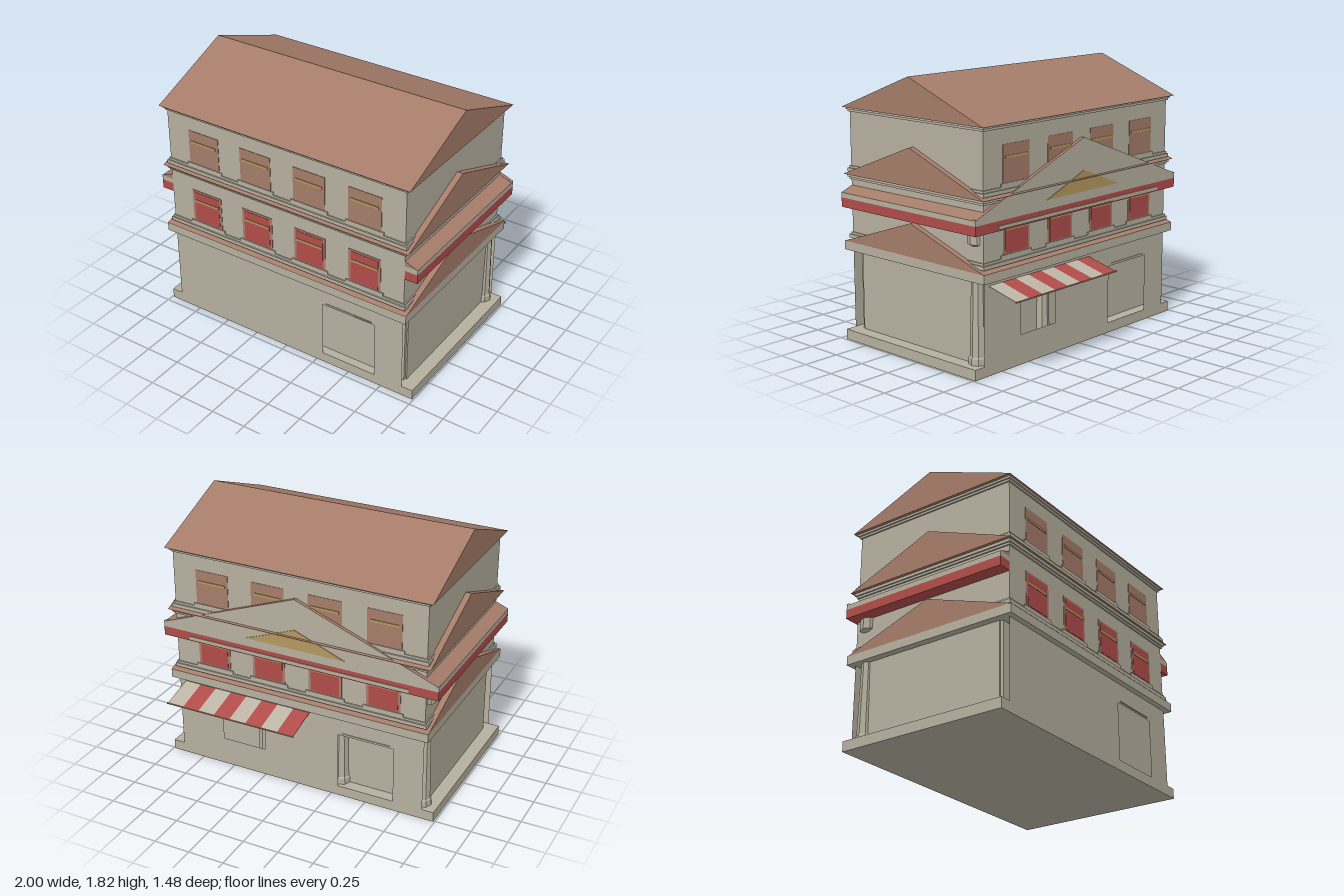
import * as THREE from 'three';

export function createModel() {
  const model = new THREE.Group();
  model.name = 'shopHouse';
  const mat = (name, color, side = THREE.FrontSide) => {
    const m = new THREE.MeshStandardMaterial({ color, side });
    m.name = name;
    return m;
  };
  const plaster = mat('plaster', 0xb5af9e, THREE.DoubleSide);
  const tile = mat('roofTile', 0xa57c69);
  const red = mat('redPaint', 0xb04c49, THREE.DoubleSide);
  const tan = mat('tanTrim', 0xb3975f);
  const cloth = mat('paleCloth', 0xbdb4a5, THREE.DoubleSide);

  const add = (name, geo, material, parent = model) => {
    const mesh = new THREE.Mesh(geo, material);
    mesh.name = name;
    parent.add(mesh);
    return mesh;
  };
  // Box given by its limits on each axis
  const box = (name, [x0, x1], [y0, y1], [z0, z1], material, parent) => {
    const g = new THREE.BoxGeometry(x1 - x0, y1 - y0, z1 - z0);
    g.translate((x0 + x1) / 2, (y0 + y1) / 2, (z0 + z1) / 2);
    return add(name, g, material, parent);
  };
  const polygon = (pts) => new THREE.Shape(pts.map(([x, y]) => new THREE.Vector2(x, y)));
  // Section drawn in (z, y), swept along x from x0 to x1
  const sweepX = (name, pts, x0, x1, material) => {
    const g = new THREE.ExtrudeGeometry(polygon(pts.map(([z, y]) => [-z, y])), { depth: x1 - x0, bevelEnabled: false });
    g.rotateY(Math.PI / 2).translate(x0, 0, 0);
    return add(name, g, material);
  };

  const FRONT = 0.70, BACK = -0.51, MID = 0.095, W = 0.91;

  // Plinth, recessed ground-floor core
  box('plinth', [-0.99, 0.99], [0, 0.07], [BACK, FRONT], plaster);
  box('groundCore', [-0.9, 0.9], [0.07, 0.61], [-0.43, 0.62], plaster);
  box('groundFrontInnerWall', [-0.89, 0.89], [0.07, 0.61], [0.62, 0.64], plaster);

  // Thin outer ground-floor walls with openings
  const rect = (x0, x1, y0, y1) => polygon([[x0, y0], [x1, y0], [x1, y1], [x0, y1]]);
  const screen = (name, z, holes) => {
    const s = rect(-W, W, 0.07, 0.61);
    holes.forEach((h) => s.holes.push(rect(...h)));
    const g = new THREE.ShapeGeometry(s);
    if (z < 0) g.rotateY(Math.PI);
    add(name, g.translate(0, 0, z), plaster);
  };
  const door = [0.3, 0.7, 0.0701, 0.47];
  screen('frontWall', FRONT, [door]);
  screen('backWall', BACK, [door, [-0.575, -0.25, 0.2, 0.42]]);
  box('frontDoorLintel', [0.33, 0.675], [0.482, 0.488], [FRONT, FRONT + 0.006], plaster);
  box('backDoorLintel', [-0.675, -0.33], [0.482, 0.488], [BACK - 0.006, BACK], plaster);

  // Arcade columns behind the back wall
  for (const x of [-0.88, -0.29, 0.29, 0.88]) {
    const column = new THREE.Group();
    column.name = 'column';
    column.position.set(x, 0, -0.43);
    model.add(column);
    const drum = (name, rTop, rBottom, y0, y1) => {
      const g = new THREE.CylinderGeometry(rTop, rBottom, y1 - y0, 8).toNonIndexed();
      g.computeVertexNormals();
      add(name, g.translate(0, (y0 + y1) / 2, 0), plaster, column);
    };
    drum('columnShaft', 0.042, 0.052, 0.12, 0.61);
    drum('columnBase', 0.06, 0.062, 0.07, 0.11);
    drum('columnBaseTop', 0.045, 0.06, 0.11, 0.13);
  }

  // Brackets under the side canopies
  for (const s of [-1, 1]) {
    const g = new THREE.CylinderGeometry(0.06, 0.06, 0.075, 8).toNonIndexed();
    g.computeVertexNormals();
    add('canopyBracket', g.translate(s * 0.885, 0.877, -0.43), plaster);
    const t = new THREE.CylinderGeometry(0.06, 0.03, 0.015, 8).toNonIndexed();
    t.computeVertexNormals();
    add('canopyBracketTip', t.translate(s * 0.885, 0.832, -0.43), plaster);
  }

  // Slab over the ground floor and upper storeys
  box('slab', [-0.95, 0.95], [0.61, 0.67], [-0.55, 0.74], plaster);
  box('secondStorey', [-W, W], [0.67, 1.12], [BACK, FRONT], plaster);
  box('thirdStorey', [-W, W], [1.12, 1.57], [BACK, FRONT], plaster);

  // Ledges in two steps around the storeys
  const ledge = (y0, y1, out) =>
    box('ledge', [-W - out, W + out], [y0, y1], [BACK - out, FRONT + out], plaster);
  for (const y of [0.69, 1.14]) {
    ledge(y, y + 0.025, 0.018);
    ledge(y + 0.025, y + 0.04, 0.008);
  }
  for (const y of [1.09, 1.54]) {
    ledge(y, y + 0.015, 0.01);
    ledge(y + 0.015, y + 0.035, 0.02);
  }

  // Gable roofs, one per storey
  for (const [eave, ridge] of [[0.67, 0.89], [1.125, 1.375], [1.57, 1.82]])
    sweepX('gableRoof', [[0.735, eave], [MID, ridge], [-0.55, eave]], -0.95, 0.95, tile);

  // Windows on front and back
  for (const side of [1, -1]) {
    const face = new THREE.Group();
    face.name = side > 0 ? 'frontWindows' : 'backWindows';
    face.position.z = side > 0 ? FRONT : BACK;
    if (side < 0) face.rotation.y = Math.PI;
    model.add(face);
    for (const x of [-0.62, -0.207, 0.207, 0.62]) {
      for (const y of [0.75, 1.2]) {
        box('windowFrame', [x - 0.12, x + 0.12], [y, y + 0.24], [0, 0.003], tile, face);
        box('windowSill', [x - 0.14, x + 0.14], [y - 0.02, y], [0, 0.008], plaster, face);
        if (y < 1)
          box('windowShutter', [x - 0.102, x + 0.102], [y + 0.008, y + 0.226], [0.003, 0.005], red, face);
        box('windowBar', [x - 0.1, x + 0.1], [y + 0.152, y + 0.168], [0.003, 0.008], tan, face);
      }
    }
  }

  // Side canopies: sloping tiles over a pale and a red fascia
  for (const s of [-1, 1]) {
    const span = (a, b) => (s > 0 ? [a, b] : [-b, -a]);
    box('canopyFasciaRed', span(W, 1), [0.915, 0.978], [-0.525, FRONT], red);
    box('canopyFasciaPale', span(W, 1), [0.978, 1.012], [-0.525, FRONT], plaster);
    const section = polygon(s > 0 ? [[W, 1.012], [1, 1.012], [W, 1.048]] : [[-W, 1.012], [-W, 1.048], [-1, 1.012]]);
    const g = new THREE.ExtrudeGeometry(section, { depth: FRONT + 0.525, bevelEnabled: false });
    add('canopyTiles', g.translate(0, 0, -0.525), tile);
  }

  // Back fascia and pediment
  box('backFasciaRed', [-1, 1], [0.915, 0.978], [-0.53, BACK], red);
  box('backFasciaStrip', [-0.8, 0.8], [0.925, 0.948], [-0.536, -0.53], plaster);
  box('backFasciaPale', [-1, 1], [0.978, 1.02], [-0.53, BACK], plaster);
  const pediment = new THREE.ExtrudeGeometry(polygon([[-1, 1.015], [1, 1.015], [0, 1.395]]), { depth: 0.025, bevelEnabled: false });
  add('pediment', pediment.translate(0, 0, -0.535), [plaster, tile]);
  const crest = new THREE.ExtrudeGeometry(polygon([[-0.36, 1.04], [0.36, 1.04], [0, 1.18]]), { depth: 0.004, bevelEnabled: false });
  add('pedimentPanel', crest.translate(0, 0, -0.539), tan);

  // Striped awning over the back window
  const n = 8, x0 = -0.09, w = 0.956 / n;
  const top = [-0.51, 0.58], low = [-0.74, 0.522];
  for (let i = 0; i < n; i++) {
    sweepX('awningStripe', [top, [top[0], top[1] - 0.003], [low[0], low[1] - 0.003], low].reverse(),
      x0 + i * w, x0 + (i + 1) * w, i % 2 ? cloth : red);
  }
  box('awningRail', [x0 - 0.004, x0 + n * w + 0.004], [0.517, 0.526], [-0.744, -0.737], tile);

  return model;
}
